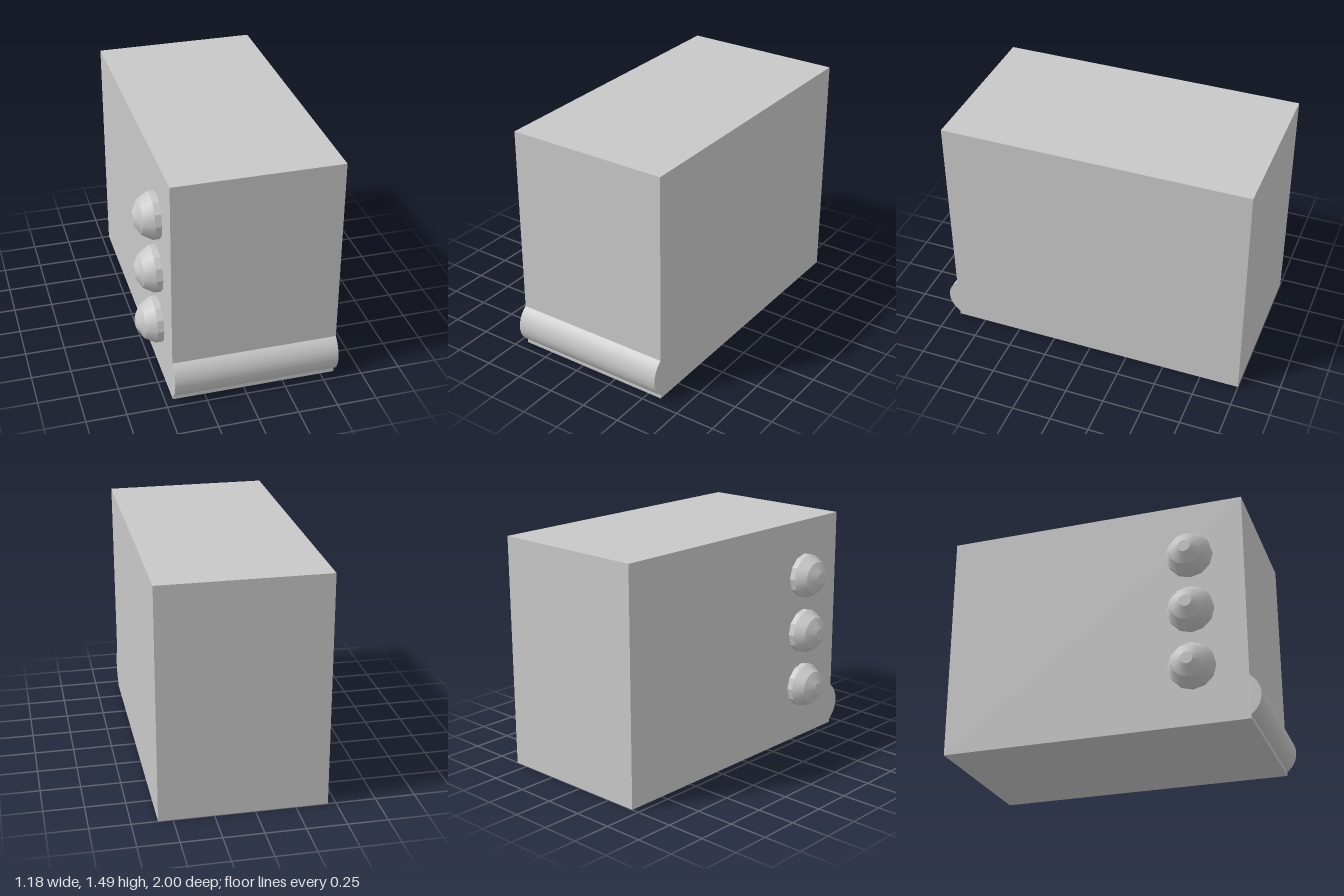
import * as THREE from 'three';
import { toCreasedNormals } from 'three/addons/utils/BufferGeometryUtils.js';

export function createModel() {
  const model = new THREE.Group();
  const grey = new THREE.MeshStandardMaterial({ color: 0xc8c8c8 });
  grey.name = 'grey';

  const add = (name, geometry, x, y, z) => {
    const mesh = new THREE.Mesh(geometry, grey);
    mesh.name = name;
    mesh.position.set(x, y, z);
    model.add(mesh);
  };

  const left = 0.59, right = -0.45, back = -1, front = 0.935, height = 1.485;
  const width = left - right, depth = front - back;

  // Main block
  add('body', new THREE.BoxGeometry(width, height, depth),
    (left + right) / 2, height / 2, (front + back) / 2);

  // Rounded rail along the lower front edge: the part of a cylinder outside the block
  const railRadius = 0.15, railZ = 0.85;
  const half = Math.acos((front - railZ) / railRadius);
  const segment = new THREE.Shape();
  segment.absarc(railZ, 0.15, railRadius, -half, half, false);
  const rail = new THREE.ExtrudeGeometry(segment, { depth: width, bevelEnabled: false, curveSegments: 24 });
  rail.rotateY(-Math.PI / 2);
  add('frontRail', toCreasedNormals(rail, 0.5), left, 0, 0);

  // Three faceted half-round knobs on the right side
  const r = 0.15;
  const profile = [new THREE.Vector2(r * Math.cos(Math.PI / 12), 0)];
  for (const deg of [15, 45, 75]) {
    const a = THREE.MathUtils.degToRad(deg);
    profile.push(new THREE.Vector2(r * Math.cos(a), r * Math.sin(a)));
  }
  profile.push(new THREE.Vector2(0, r * Math.sin(Math.PI * 75 / 180)));
  const knob = toCreasedNormals(new THREE.LatheGeometry(profile, 12).rotateZ(Math.PI / 2), 0.5);
  for (let i = 0; i < 3; i++) add('knob' + (i + 1), knob, right, 0.37 + i * 0.374, 0.597);

  return model;
}
